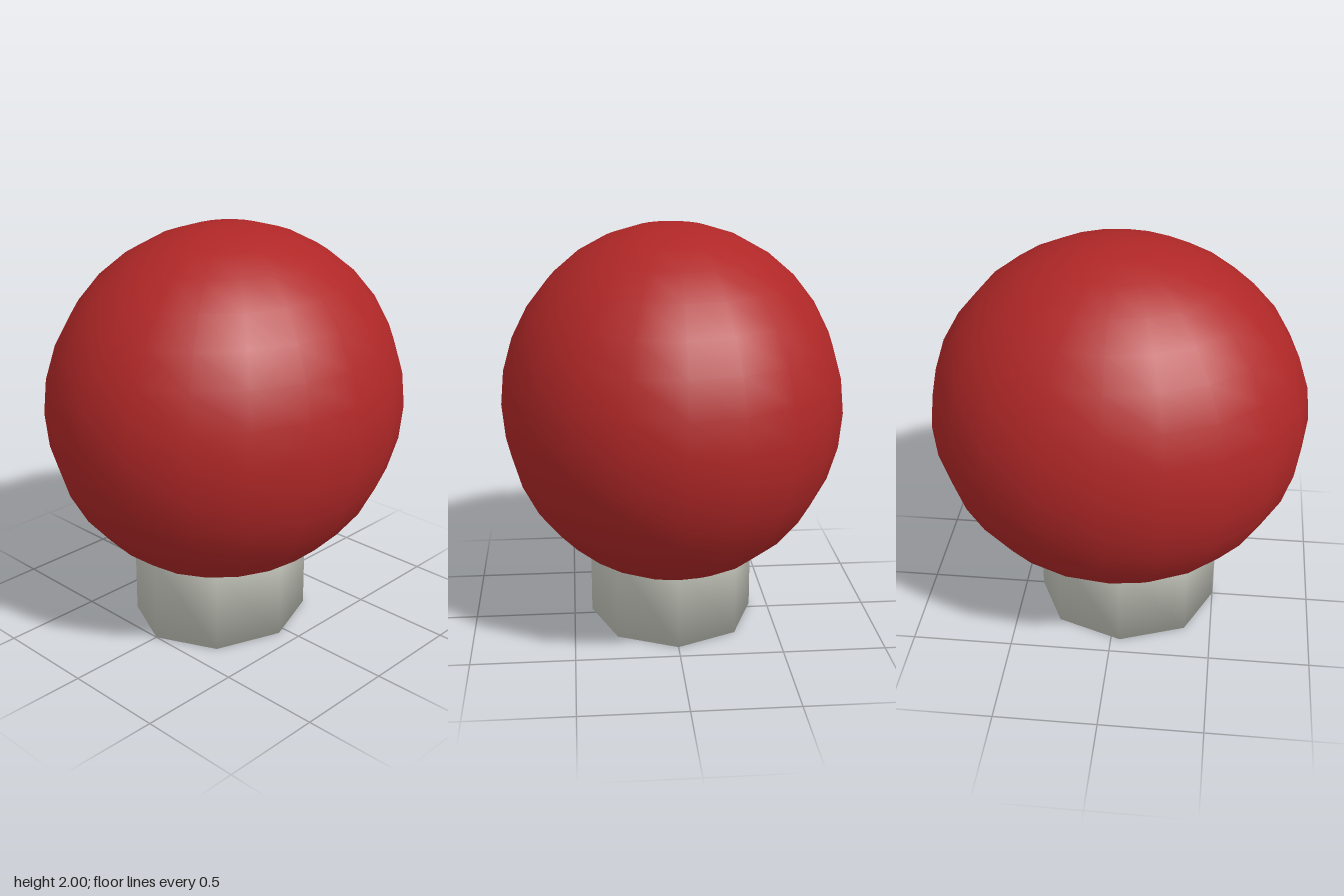
import * as THREE from 'three';

const red = new THREE.MeshStandardMaterial({ color: 0xb02727 });
red.name = 'red';
const paleGrey = new THREE.MeshStandardMaterial({ color: 0xcfd1c6 });
paleGrey.name = 'paleGrey';

function addPart(group, name, geometry, material, x, y, z) {
  const mesh = new THREE.Mesh(geometry, material);
  mesh.name = name;
  mesh.position.set(x, y, z);
  group.add(mesh);
}

export function createModel() {
  const group = new THREE.Group();
  group.name = 'roundHeadOnNeck';

  // Rounded head: a smooth ellipsoid, longest from front to back
  const head = new THREE.SphereGeometry(1, 20, 16);
  head.scale(0.83, 0.87, 0.915);
  addPart(group, 'head', head, red, 0, 1.13, 0);

  // Eight-sided neck, set slightly forward, with its base shaded smoothly into the sides
  const profile = [[0, 0], [1, 0], [1, 0.42]].map(([r, y]) => new THREE.Vector2(r, y));
  const neck = new THREE.LatheGeometry(profile, 8);
  neck.scale(0.41, 1, 0.455);
  addPart(group, 'neck', neck, paleGrey, 0, 0, 0.045);

  return group;
}
